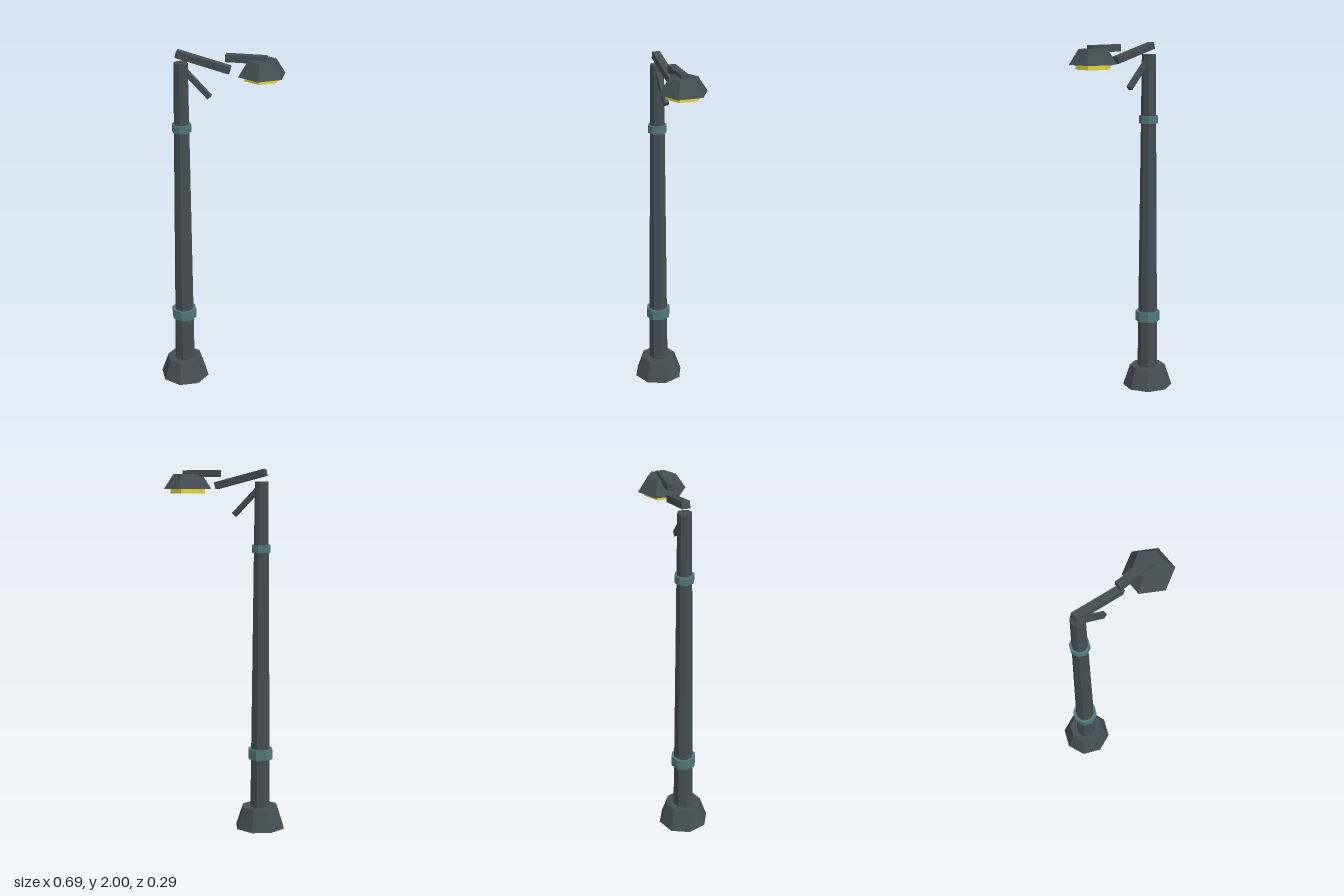
import * as THREE from 'three';

const material = (name, color) => {
  const m = new THREE.MeshStandardMaterial({ color, flatShading: true });
  m.name = name;
  return m;
};

export function createModel() {
  const iron = material('darkIron', 0x444e52);
  const teal = material('tealBand', 0x51777a);
  const glow = material('yellowLens', 0xe8d83a);
  const group = new THREE.Group();
  group.name = 'streetLamp';

  const add = (name, geometry, mat, x, y, tilt = 0) => {
    const mesh = new THREE.Mesh(geometry, mat);
    mesh.name = name;
    mesh.position.set(x, y, 0);
    mesh.rotation.z = tilt;
    group.add(mesh);
  };
  // Tapered prism standing between two heights
  const prism = (name, mat, x, y0, y1, r0, r1, sides) =>
    add(name, new THREE.CylinderGeometry(r1, r0, y1 - y0, sides), mat, x, (y0 + y1) / 2);
  // Square bar between two points in the xy plane
  const bar = (name, x0, y0, x1, y1, thick, depth) =>
    add(name, new THREE.BoxGeometry(Math.hypot(x1 - x0, y1 - y0), thick, depth), iron,
      (x0 + x1) / 2, (y0 + y1) / 2, Math.atan2(y1 - y0, x1 - x0));

  // Octagonal post with foot and bands
  const postX = -0.203;
  prism('foot', iron, postX, 0, 0.12, 0.143, 0.102, 8);
  prism('post', iron, postX, 0.12, 1.932, 0.058, 0.039, 8);
  prism('lowerBand', teal, postX, 0.395, 0.452, 0.071, 0.071, 8);
  prism('upperBand', teal, postX, 1.549, 1.592, 0.054, 0.054, 8);

  // Arm and brace
  bar('slopingArm', -0.226, 1.981, 0.062, 1.909, 0.038, 0.043);
  bar('levelArm', 0.04, 1.975, 0.254, 1.975, 0.038, 0.043);
  bar('brace', -0.182, 1.891, -0.046, 1.752, 0.027, 0.027);

  // Hexagonal lamp head
  const headX = 0.231;
  prism('lampShade', iron, headX, 1.893, 1.974, 0.132, 0.079, 6);
  prism('lampLens', glow, headX, 1.868, 1.895, 0.096, 0.096, 6);

  return group;
}
